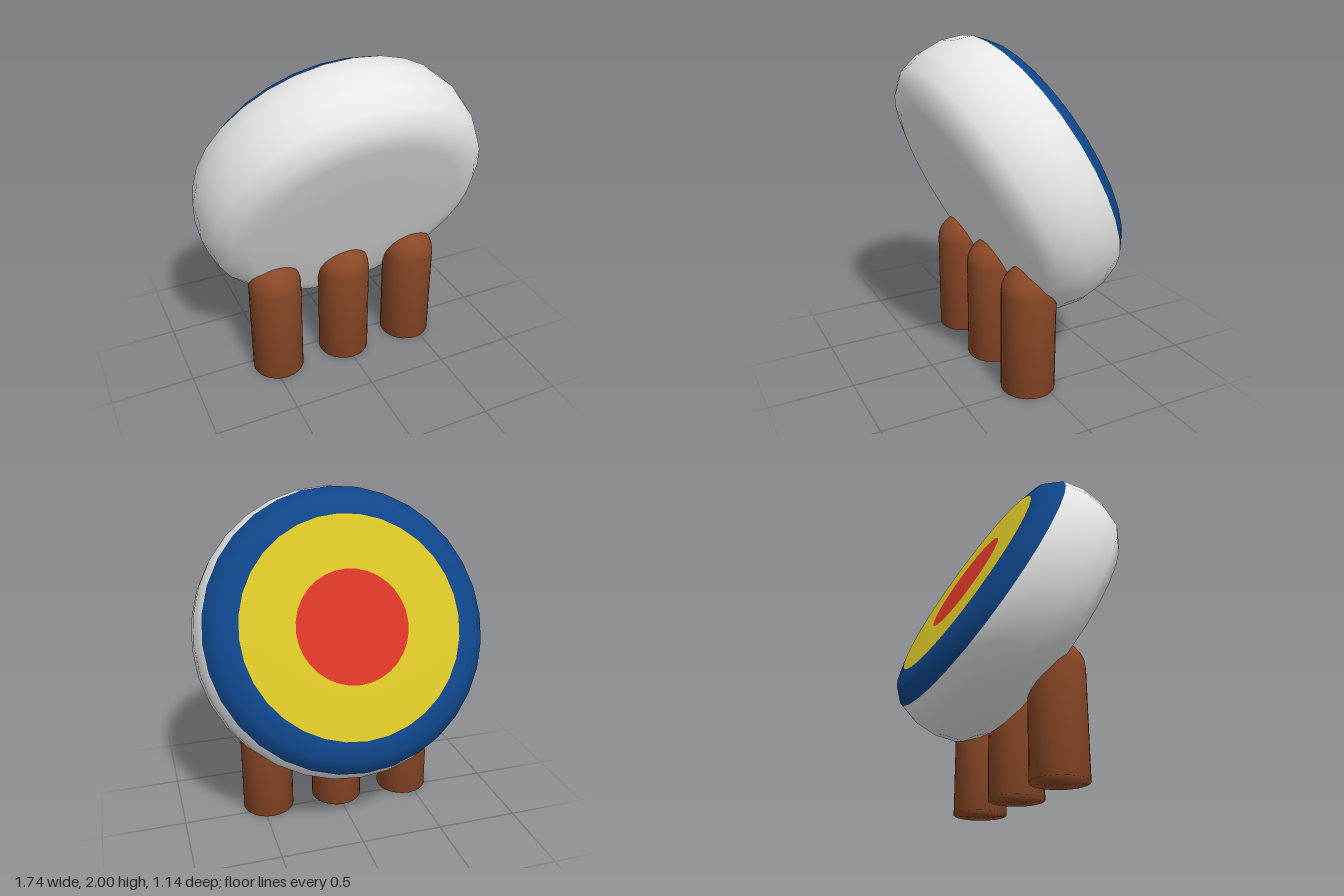
import * as THREE from 'three';

const mat = (name, color) => {
  const m = new THREE.MeshStandardMaterial({ color });
  m.name = name;
  return m;
};
const pts = (list) => list.map(([r, y]) => new THREE.Vector2(r, y));

// Regroup a lathe's faces so each profile span takes its own material
function groupBySpan(geo, spanCount, spanMaterial) {
  const old = Array.from(geo.index.array);
  const buckets = [];
  for (let q = 0; q * 6 < old.length; q++) {
    const m = spanMaterial[q % spanCount];
    (buckets[m] ??= []).push(...old.slice(q * 6, q * 6 + 6));
  }
  geo.setIndex(buckets.flat());
  let start = 0;
  buckets.forEach((b, m) => {
    geo.addGroup(start, b.length, m);
    start += b.length;
  });
  return geo;
}

export function createModel() {
  const model = new THREE.Group();
  model.name = 'targetStand';
  const white = mat('white', 0xe6e6e6);
  const blue = mat('blue', 0x10468a);
  const yellow = mat('yellow', 0xd8c426);
  const red = mat('red', 0xd83627);
  const brown = mat('brown', 0x8a4826);

  // Rounded disc, leaning back, with coloured rings on its rear face
  const profile = pts([
    [0, -0.3], [0.33, -0.3], [0.645, -0.298], [0.758, -0.268], [0.833, -0.191], [0.869, -0.066],
    [0.869, 0.066], [0.833, 0.191], [0.758, 0.268], [0.645, 0.298], [0.33, 0.3], [0, 0.3],
  ]);
  const spans = [0, 0, 0, 0, 0, 0, 0, 1, 1, 2, 3];
  const discGeo = groupBySpan(new THREE.LatheGeometry(profile, 32), spans.length, spans);
  const disc = new THREE.Mesh(discGeo, [white, blue, yellow, red]);
  disc.name = 'targetDisc';
  disc.position.y = 1.166;
  disc.rotation.x = -THREE.MathUtils.degToRad(64.2);
  model.add(disc);

  // Three round-topped legs
  const R = 0.16, shoulder = 0.615;
  const legProfile = [[0, 0], [R, 0], [R, shoulder]];
  for (let i = 1; i <= 6; i++) {
    const a = (i / 6) * Math.PI / 2;
    legProfile.push([i === 6 ? 0 : R * Math.cos(a), shoulder + R * Math.sin(a)]);
  }
  const legGeo = new THREE.LatheGeometry(pts(legProfile), 24);
  [['leftLeg', 0.457], ['middleLeg', 0], ['rightLeg', -0.457]].forEach(([name, x]) => {
    const leg = new THREE.Mesh(legGeo, brown);
    leg.name = name;
    leg.position.set(x, 0, 0.075);
    model.add(leg);
  });

  return model;
}
